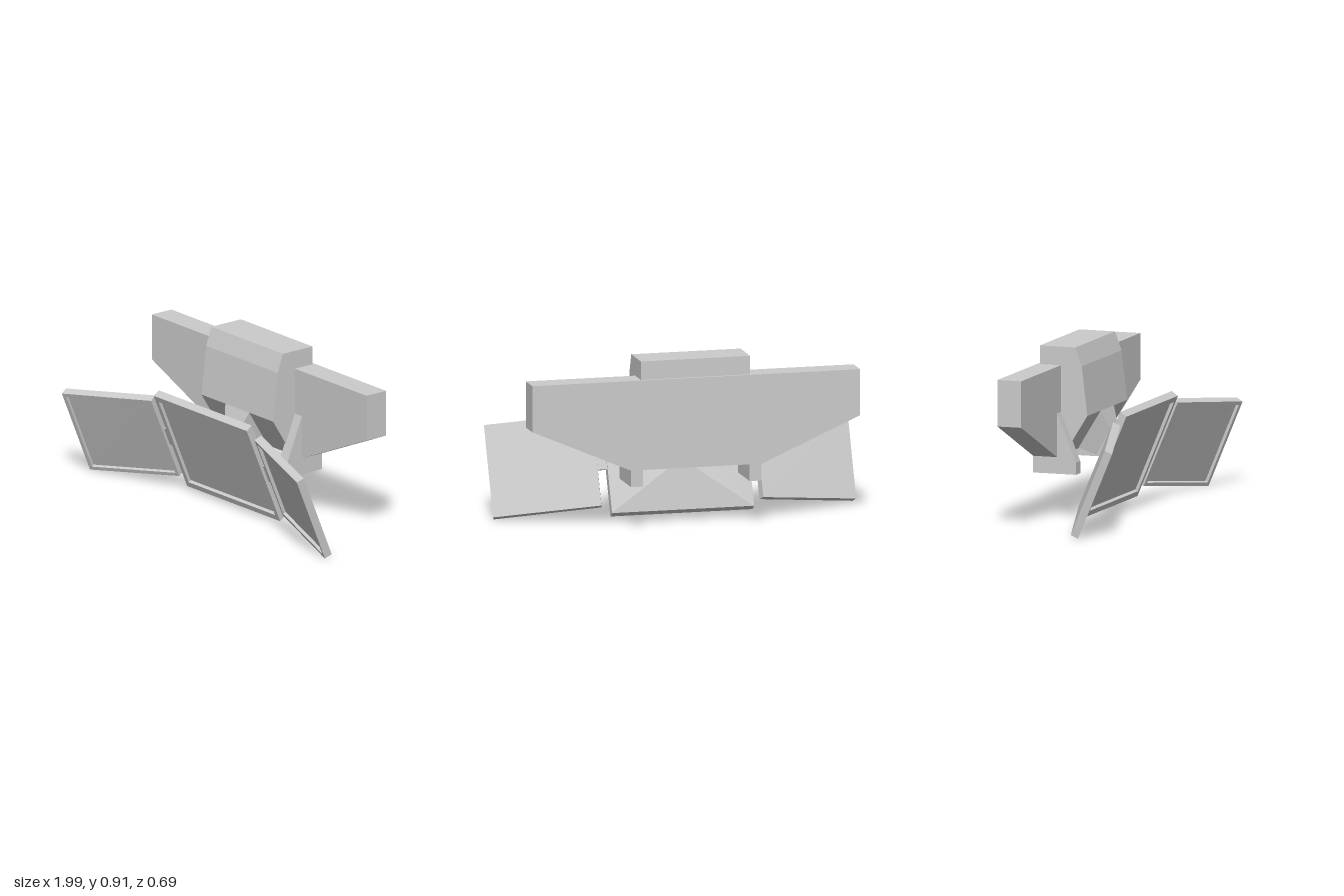
import * as THREE from 'three';

const material = new THREE.MeshStandardMaterial({ color: 0xcccccc, flatShading: true });

function addMesh(parent, name, geometry) {
  const mesh = new THREE.Mesh(geometry, material);
  mesh.name = name;
  parent.add(mesh);
  return mesh;
}

// Four corners: bottom left, bottom right, top right, top left, seen from the front
const corners = (bl, br, tr, tl) => [bl, br, tr, tl].map((p) => new THREE.Vector3(...p));
const level = (w, bottom, top) =>
  corners([-w, ...bottom], [w, ...bottom], [w, ...top], [-w, ...top]);

// Skin a closed solid through four-cornered rings, ordered back to front
function loft(rings) {
  const pos = [];
  const quad = (a, b, c, d) => [a, b, c, a, c, d].forEach((p) => pos.push(p.x, p.y, p.z));
  const first = rings[0], last = rings[rings.length - 1];
  quad(first[3], first[2], first[1], first[0]);
  quad(...last);
  for (let i = 0; i < rings.length - 1; i++) {
    for (let k = 0; k < 4; k++) {
      const n = (k + 1) % 4;
      quad(rings[i][k], rings[i][n], rings[i + 1][n], rings[i + 1][k]);
    }
  }
  const geometry = new THREE.BufferGeometry();
  geometry.setAttribute('position', new THREE.Float32BufferAttribute(pos, 3));
  geometry.computeVertexNormals();
  return geometry;
}

// Shrink a ring inside its own plane, by a fraction of its width and height
function inset(ring, u, v) {
  const at = (s, t) => ring[0].clone().lerp(ring[1], s)
    .lerp(ring[3].clone().lerp(ring[2], s), t);
  return [at(u, v), at(1 - u, v), at(1 - u, 1 - v), at(u, 1 - v)];
}

// Bezel and sunken screen that finish a panel
function screenRings(back, front, u, v) {
  const rim = inset(front, u, v);
  const floor = inset(back, u, v).map((p, i) => rim[i].clone().lerp(p, 0.4));
  return [back, front, rim, floor];
}

// Extrude a [z, y] side profile along x
function sideProfile(points, x0, x1) {
  const shape = new THREE.Shape(points.map(([z, y]) => new THREE.Vector2(-z, y)));
  return new THREE.ExtrudeGeometry(shape, { depth: x1 - x0, bevelEnabled: false })
    .rotateY(Math.PI / 2).translate(x0, 0, 0);
}

export function createModel() {
  const model = new THREE.Group();
  model.name = 'tripleScreenUnit';

  // Wide rear wing with tapered underside
  const wing = new THREE.Shape([
    [-0.9, 0.815], [-0.9, 0.565], [-0.36, 0.33], [0.36, 0.33], [0.9, 0.565], [0.9, 0.815],
  ].map(([x, y]) => new THREE.Vector2(x, y)));
  addMesh(model, 'rearWing', new THREE.ExtrudeGeometry(wing, { depth: 0.135, bevelEnabled: false })
    .translate(0, 0, -0.34));

  // Central housing
  addMesh(model, 'housing', sideProfile([
    [-0.325, 0.915], [-0.325, 0.34], [-0.185, 0.34], [-0.055, 0.55], [-0.087, 0.815], [-0.123, 0.915],
  ], -0.3, 0.3));

  // Neck tapering down to the centre panel
  addMesh(model, 'neck', loft([
    level(0.1, [0.345, -0.18], [0.55, -0.055]),
    level(0.06, [0.305, -0.095], [0.445, -0.015]),
    level(0.06, [0.27, -0.025], [0.412, 0.05]),
  ]));

  // Centre panel with pyramid back
  addMesh(model, 'centrePanel', loft([
    level(0.06, [0.275, -0.03], [0.415, 0.045]),
    ...screenRings(
      level(0.39, [0.047, -0.065], [0.597, 0.165]),
      level(0.39, [0.022, -0.03], [0.573, 0.2]), 0.035, 0.055),
  ]));

  // Side panels, hinges and brackets, mirrored
  for (const side of [1, -1]) {
    const name = side > 0 ? 'left' : 'right';
    const mirror = (ring) => side > 0 ? ring
      : [1, 0, 3, 2].map((i) => ring[i].clone().multiply(new THREE.Vector3(-1, 1, 1)));
    const back = corners([0.445, 0.088, -0.05], [0.997, 0.02, 0.113],
      [0.997, 0.483, 0.305], [0.445, 0.55, 0.145]);
    const front = corners([0.433, 0.07, -0.012], [0.985, 0.001, 0.15],
      [0.985, 0.465, 0.343], [0.433, 0.53, 0.182]);
    addMesh(model, name + 'SidePanel',
      loft(screenRings(mirror(back), mirror(front), 0.035, 0.04)));

    const hinge = addMesh(model, name + 'Hinge', new THREE.BoxGeometry(0.08, 0.105, 0.016));
    hinge.position.set(side * 0.415, 0.31, 0.062);
    hinge.rotation.x = 0.396;

    const x = side * 0.325;
    addMesh(model, name + 'Bracket', sideProfile([
      [-0.342, 0.24], [-0.098, 0.24], [-0.098, 0.305], [-0.205, 0.565], [-0.342, 0.565],
    ], x - 0.033, x + 0.033));
  }
  return model;
}
